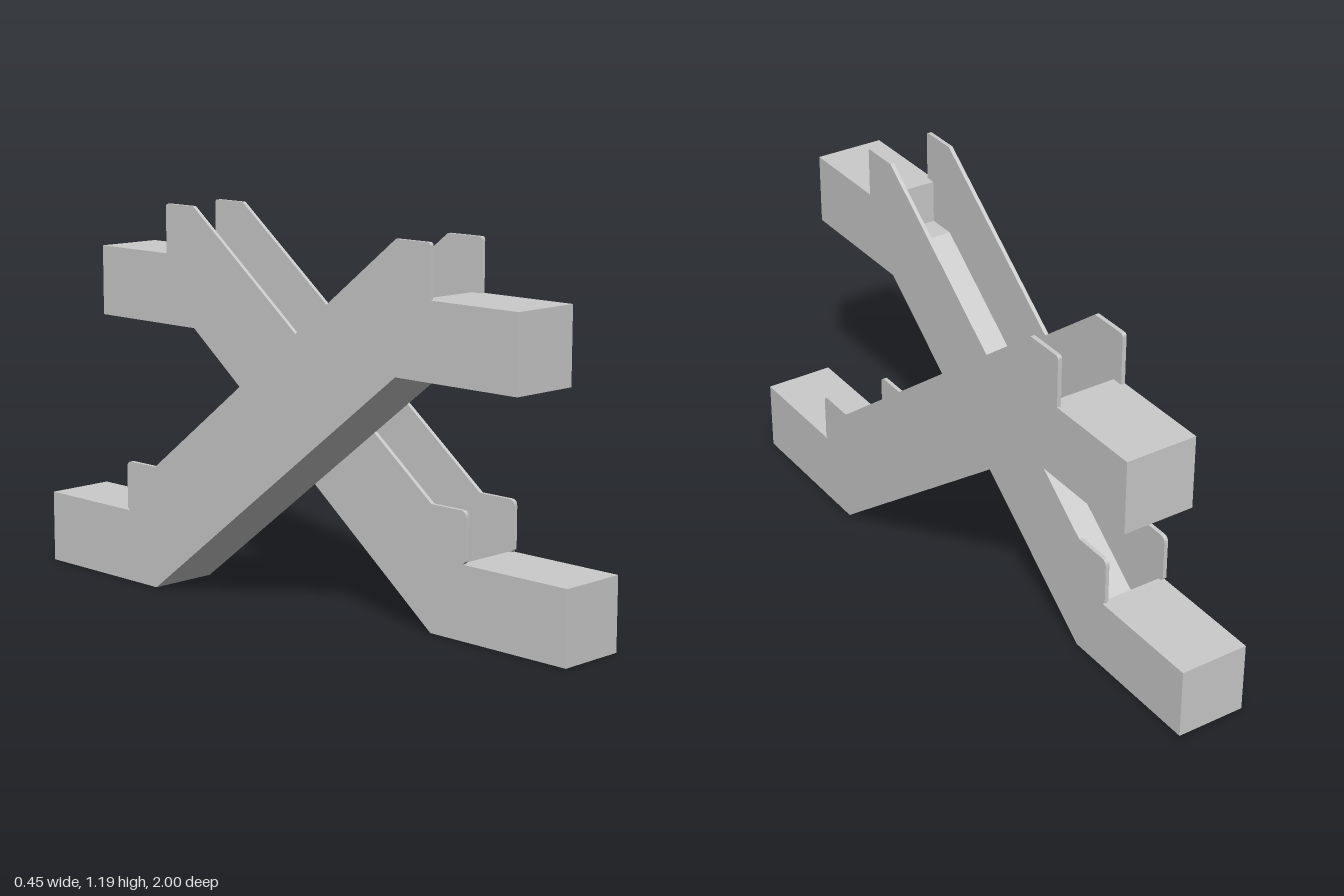
import * as THREE from 'three';

const WIDTH = 0.227, PANEL = 0.013;
const material = new THREE.MeshStandardMaterial({ color: 0xcccccc, flatShading: true });

// Extrudes a side profile (z, y) across x from x0 to x1
function slab(name, shape, x0, x1) {
  const geometry = new THREE.ExtrudeGeometry(shape, { depth: x1 - x0, bevelEnabled: false, curveSegments: 4 });
  geometry.rotateY(-Math.PI / 2).translate(x1, 0, 0);
  const mesh = new THREE.Mesh(geometry, material);
  mesh.name = name;
  return mesh;
}

// Side panel: landings, sloping truss and balustrade with rounded ends
function panelShape() {
  const r = 0.02, s = new THREE.Shape();
  s.moveTo(1, 0);
  s.lineTo(1, 0.23);
  s.lineTo(0.61, 0.23);
  s.lineTo(0.62, 0.24);
  s.lineTo(0.62, 0.39 - r);
  s.quadraticCurveTo(0.62, 0.39, 0.62 - r, 0.39);
  s.lineTo(0.485, 0.39);
  s.lineTo(-0.55, 1.19);
  s.lineTo(-0.68 + r / 2, 1.19);
  s.quadraticCurveTo(-0.68, 1.19, -0.68, 1.19 - r / 2);
  s.lineTo(-0.68, 1.03);
  s.lineTo(-1, 1.03);
  s.lineTo(-1, 0.8);
  s.lineTo(-0.55, 0.8);
  s.lineTo(0.485, 0);
  s.closePath();
  return s;
}

// Core: landings with the sunken moving ramp between them
function coreShape() {
  return new THREE.Shape([
    [1, 0], [1, 0.23], [0.6, 0.23], [0.6, 0.09], [0.485, 0.09], [-0.55, 0.89],
    [-0.645, 0.89], [-0.645, 1.03], [-1, 1.03], [-1, 0.8], [-0.55, 0.8], [0.485, 0],
  ].map(([z, y]) => new THREE.Vector2(z, y)));
}

function escalator(name) {
  const group = new THREE.Group();
  group.name = name;
  group.add(
    slab('innerPanel', panelShape(), 0, PANEL),
    slab('rampAndLandings', coreShape(), PANEL, WIDTH - PANEL),
    slab('outerPanel', panelShape(), WIDTH - PANEL, WIDTH),
  );
  return group;
}

export function createModel() {
  const model = new THREE.Group();
  model.name = 'crossedEscalators';
  const left = escalator('leftEscalator');
  // The second flight is the first turned half way round
  const right = escalator('rightEscalator');
  right.rotation.y = Math.PI;
  model.add(left, right);
  return model;
}
